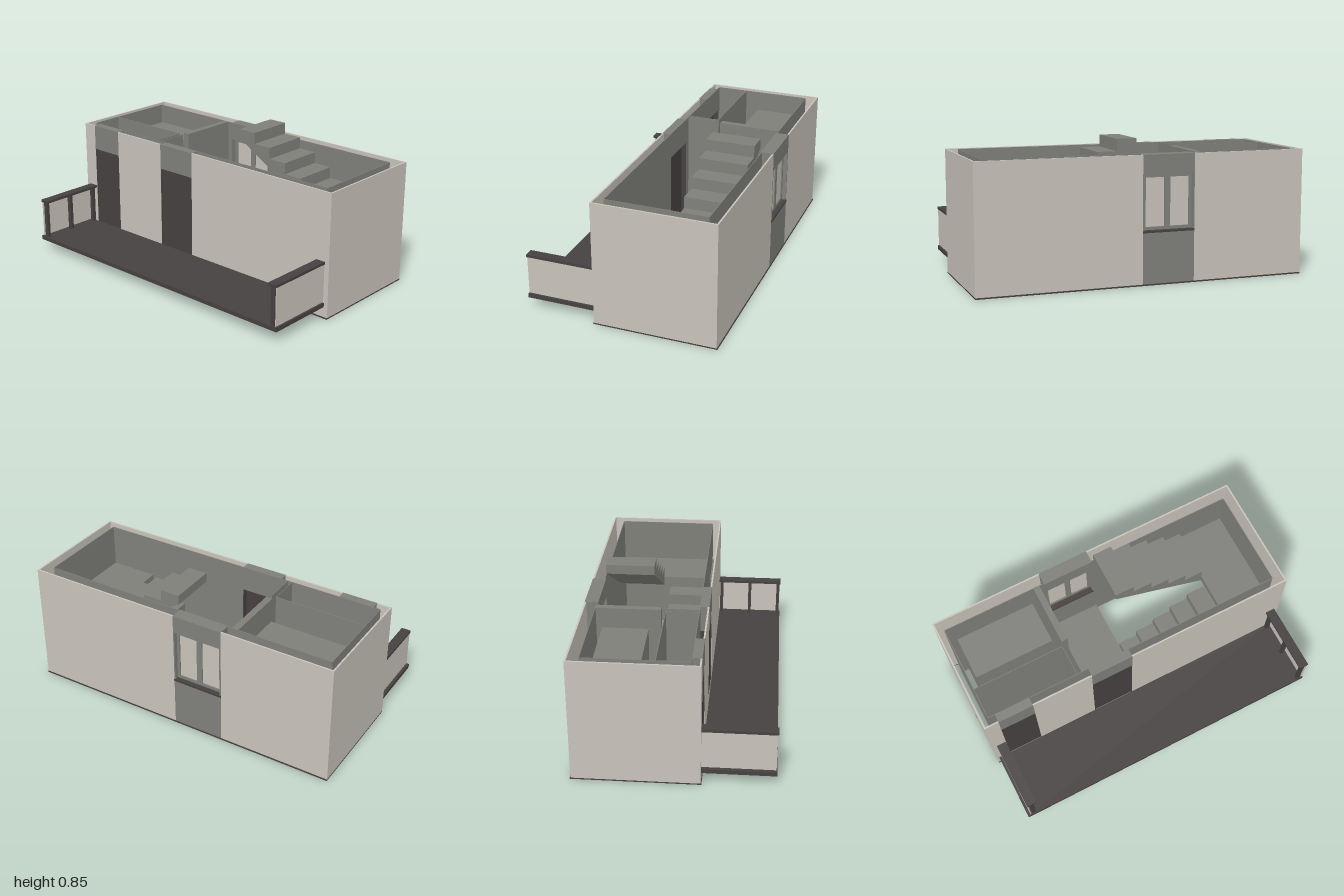
import * as THREE from 'three';

const material = (name, color) => {
  const m = new THREE.MeshStandardMaterial({ color });
  m.name = name;
  return m;
};

export function createModel() {
  const house = new THREE.Group();
  house.name = 'houseStorey';
  const beige = material('beige plaster', 0xc8c3ba);
  const grey = material('grey concrete', 0x7f7f7a);
  const dark = material('dark wood', 0x464140);

  const add = (name, geometry, mat) => {
    const mesh = new THREE.Mesh(geometry, mat);
    mesh.name = name;
    house.add(mesh);
    return mesh;
  };
  // box given by its limits along each axis
  const box = (name, mat, x0, x1, y0, y1, z0, z1) => {
    const g = new THREE.BoxGeometry(x1 - x0, y1 - y0, z1 - z0);
    g.translate((x0 + x1) / 2, (y0 + y1) / 2, (z0 + z1) / 2);
    return add(name, g, mat);
  };
  // outline in x and y, extruded from z0 to z1, with rectangular holes
  const extrude = (name, mat, points, z0, z1, holes = []) => {
    const shape = new THREE.Shape(points.map(([x, y]) => new THREE.Vector2(x, y)));
    for (const [x0, x1, y0, y1] of holes) {
      shape.holes.push(new THREE.Path([[x0, y0], [x0, y1], [x1, y1], [x1, y0]]
        .map(([x, y]) => new THREE.Vector2(x, y))));
    }
    const g = new THREE.ExtrudeGeometry(shape, { depth: z1 - z0, bevelEnabled: false });
    g.translate(0, 0, z0);
    return add(name, g, mat);
  };
  const rect = (x0, x1, y0, y1) => [[x0, y0], [x1, y0], [x1, y1], [x0, y1]];

  const TOP = 0.757, BASE = 0.008, FRONT = 0.155, BACK = -0.575;
  const doors = [[-0.91, -0.69], [-0.31, -0.045]];
  const win = [-0.3, 0.02, 0.315, 0.645];

  // outer skin
  for (const [x0, x1] of [[-1, -0.91], [-0.69, -0.31], [-0.045, 1]])
    box('frontWall', beige, x0, x1, BASE, TOP, FRONT - 0.01, FRONT);
  for (const [x0, x1] of [[-1, win[0]], [win[1], 1]])
    box('backWall', beige, x0, x1, BASE, TOP, BACK, BACK + 0.01);
  for (const s of [-1, 1])
    box('sideWall', beige, s < 0 ? -1 : 0.99, s < 0 ? -0.99 : 1, BASE, TOP, BACK + 0.01, FRONT - 0.01);

  // dark strip around the foot
  for (const [z0, z1] of [[BACK - 0.004, BACK + 0.01], [FRONT - 0.01, FRONT + 0.004]])
    box('footStrip', dark, -1, 1, 0, BASE, z0, z1);
  for (const x of [-1, 0.99])
    box('footStrip', dark, x, x + 0.01, 0, BASE, BACK + 0.01, FRONT - 0.01);

  // grey bays with doors
  for (const [x0, x1] of doors) {
    box('doorLintel', grey, x0, x1, 0.6, TOP, 0.1, FRONT);
    box('doorThreshold', grey, x0, x1, BASE, 0.08, 0.1, FRONT);
    box('door', dark, x0 + 0.006, x1 - 0.006, 0.08, 0.6, 0.13, 0.148);
    for (const x of [x0, x1 - 0.006])
      box('doorJamb', dark, x, x + 0.006, 0.08, 0.6, 0.1, 0.153);
  }
  box('slidingRail', dark, -0.945, -0.675, 0.59, 0.6, 0.117, 0.127);

  // grey bay with window
  const [wx0, wx1, wy0, wy1] = win;
  box('windowLintel', grey, wx0, wx1, wy1, TOP, BACK, -0.495);
  box('windowParapet', grey, wx0, wx1, BASE, wy0, BACK, -0.495);
  box('windowSill', dark, wx0, wx1, wy0 - 0.008, wy0 + 0.004, BACK - 0.004, -0.495);
  for (const x of [wx0, wx1 - 0.008])
    box('windowReveal', grey, x, x + 0.008, wy0, wy1, BACK, -0.495);
  const middle = (wx0 + wx1) / 2;
  for (const [x0, x1] of [[wx0 + 0.008, middle], [middle, wx1 - 0.008]]) {
    extrude('windowFrame', grey, rect(x0, x1, wy0, wy1), -0.55, -0.53,
      [[x0 + 0.018, x1 - 0.018, wy0 + 0.022, wy1 - 0.022]]);
    box('windowPane', beige, x0 + 0.018, x1 - 0.018, wy0 + 0.022, wy1 - 0.022, -0.543, -0.537);
  }

  // inner lining
  extrude('backLining', grey, rect(-0.95, 0.93, BASE, TOP), -0.504, -0.5, [win]);
  extrude('frontLining', grey, rect(-0.95, 0.93, BASE, TOP), 0.1, 0.104,
    doors.map(([x0, x1]) => [x0, x1, 0.08, 0.6]));
  for (const x of [-0.954, 0.93])
    box('sideLining', grey, x, x + 0.004, BASE, TOP, -0.5, 0.1);

  // partitions and cabinet on the right-hand side of the plan
  box('roomPartition', grey, -0.37, -0.33, BASE, TOP, -0.5, -0.12);
  box('longPartition', grey, -0.95, -0.38, BASE, TOP, -0.094, -0.09);
  for (const x of [-0.382, -0.352])
    box('shortPartition', grey, x, x + 0.003, BASE, TOP, -0.09, 0.1);
  box('cabinet', grey, -0.905, -0.405, 0.09, 0.65, -0.46, -0.19);

  // hall floor
  box('hallFloor', grey, -0.34, 0.03, BASE, 0.07, BACK + 0.01, 0.125);

  // two stair flights and the landing between them
  const RISE = 0.0705, GO = 0.12, X0 = 0.03, X1 = 0.63, LAND = 0.4925;
  const lower = [], upper = [];
  for (let i = 0; i < 5; i++) {
    const yl = 0.07 + RISE * (i + 1), yu = LAND + RISE * (5 - i);
    lower.push([X0 + GO * i, yl], [X0 + GO * (i + 1), yl]);
    upper.push([X0 + GO * i, yu], [X0 + GO * (i + 1), yu]);
  }
  lower.push([X1, 0.38], [0.15, 0.07], [0.15, BASE], [X0, BASE]);
  upper.push([X1, 0.435], [X0, 0.787]);
  extrude('lowerFlight', grey, lower.reverse(), -0.16, 0.13);
  extrude('upperFlight', grey, upper.reverse(), -0.495, -0.2);
  box('landing', grey, X1, 0.93, 0.435, LAND, -0.5, 0.13);

  // balcony deck
  box('balconyDeck', dark, -0.985, 0.975, 0.07, 0.095, FRONT, 0.577);

  // balcony end railings
  for (const s of [-1, 1]) {
    const c = s < 0 ? -0.942 : 0.942;
    box('handrail', dark, c - 0.029, c + 0.029, 0.33, 0.346, FRONT, 0.577);
    for (const z of [0.17, 0.365, 0.56])
      box('railPost', dark, c - 0.013, c + 0.013, 0.095, 0.33, z - 0.01, z + 0.01);
    box('railPanel', beige, c + s * 0.024 - 0.003, c + s * 0.024 + 0.003, 0.1, 0.33, FRONT, 0.572);
  }
  return house;
}
